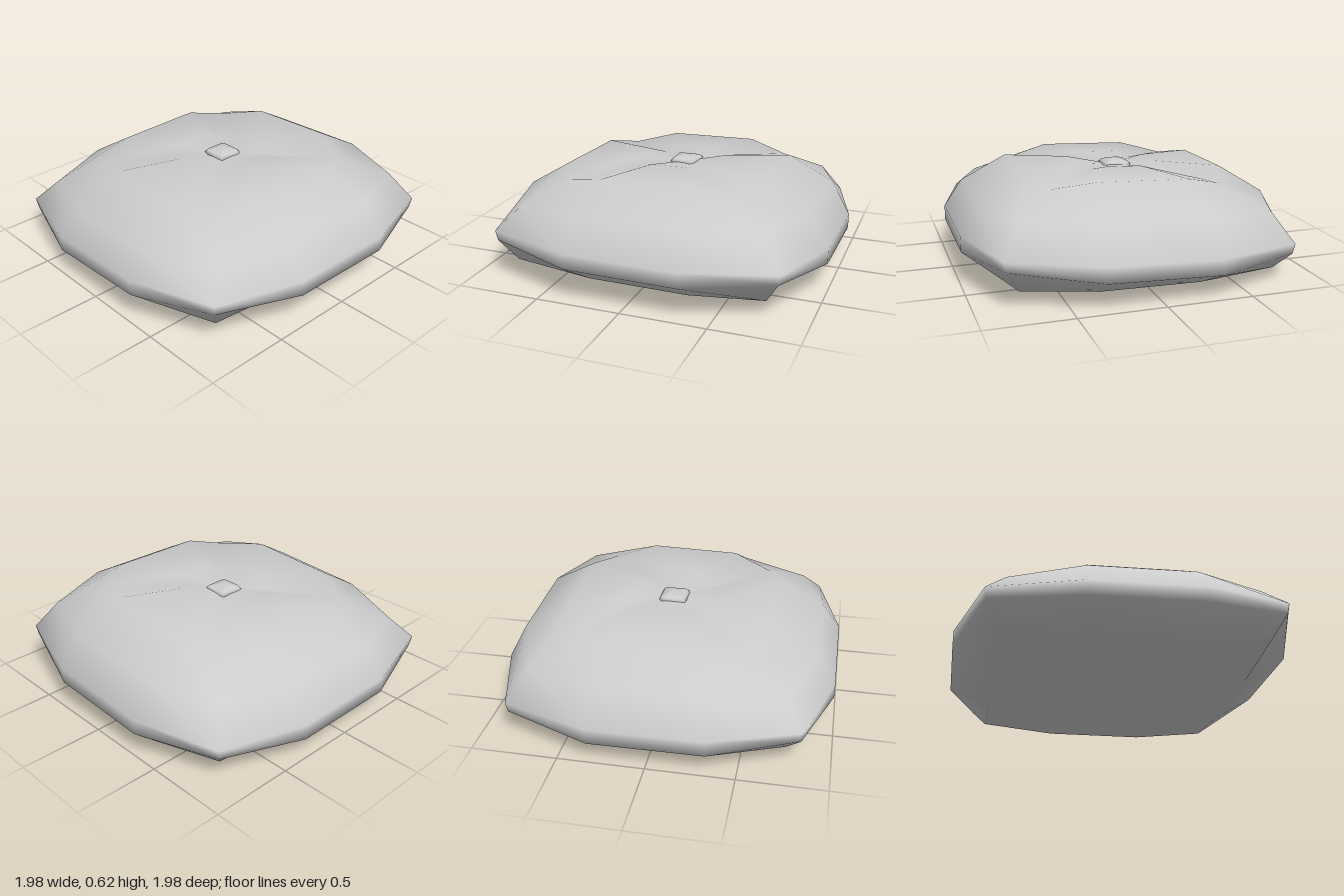
import * as THREE from 'three';

// Joins twelve-sided, square-ish rings from top to bottom into a closed smooth skin.
// Each ring: [corner reach, corner height, side half-width, side reach, side height]
function loft(topY, rings, bottomY, shapeY) {
  const pos = [0, topY, 0];
  for (const [c, cy, a, d, sy] of rings) {
    for (let k = 0; k < 4; k++) {
      const cos = Math.round(Math.cos(k * Math.PI / 2));
      const sin = Math.round(Math.sin(k * Math.PI / 2));
      for (const [x, y, z] of [[d, sy, -a], [d, sy, a], [c, cy, c]]) {
        const px = x * cos - z * sin, pz = x * sin + z * cos;
        pos.push(px, shapeY(px, y, pz), pz);
      }
    }
  }
  pos.push(0, bottomY, 0);
  const n = 12, last = pos.length / 3 - 1, index = [];
  for (let i = 0; i < n; i++) {
    const j = (i + 1) % n;
    index.push(0, 1 + j, 1 + i);
    for (let r = 0; r < rings.length - 1; r++) {
      const u = 1 + r * n, l = u + n;
      index.push(u + i, u + j, l + i, u + j, l + j, l + i);
    }
    const b = 1 + (rings.length - 1) * n;
    index.push(last, b + i, b + j);
  }
  const geo = new THREE.BufferGeometry();
  geo.setAttribute('position', new THREE.Float32BufferAttribute(pos, 3));
  geo.setIndex(index);
  geo.computeVertexNormals();
  return geo;
}

export function createModel() {
  const group = new THREE.Group();
  group.name = 'cushion';
  const fabric = new THREE.MeshStandardMaterial({ color: 0xcccccc });
  fabric.name = 'grey fabric';

  // Pillow body: diagonal creases on top, pinched corners, flat underside, slight lean
  const body = new THREE.Mesh(loft(0.565, [
    [0.17, 0.57, 0.11, 0.25, 0.598],
    [0.51, 0.535, 0.27, 0.61, 0.588],
    [0.73, 0.41, 0.31, 0.88, 0.43],
    [0.84, 0.26, 0.33, 0.99, 0.25],
    [0.83, 0.2, 0.33, 0.99, 0.16],
    [0.75, 0.08, 0.3, 0.74, 0.028],
  ], 0, (x, y, z) => y + (y > 0.1 ? 0.04 * z : 0.02 * z) + (y > 0.3 ? 0.02 * x : -0.01 * x)), fabric);
  body.name = 'pillowBody';
  group.add(body);

  // Small square tuft button with a pyramid top
  const button = new THREE.Mesh(loft(0.612, [
    [0.065, 0.592, 0.055, 0.07, 0.592],
    [0.077, 0.575, 0.06, 0.083, 0.575],
    [0.065, 0.555, 0.055, 0.07, 0.555],
  ], 0.55, (x, y) => y), fabric);
  button.name = 'tuftButton';
  button.position.set(0.02, 0, -0.02);
  group.add(button);
  return group;
}
